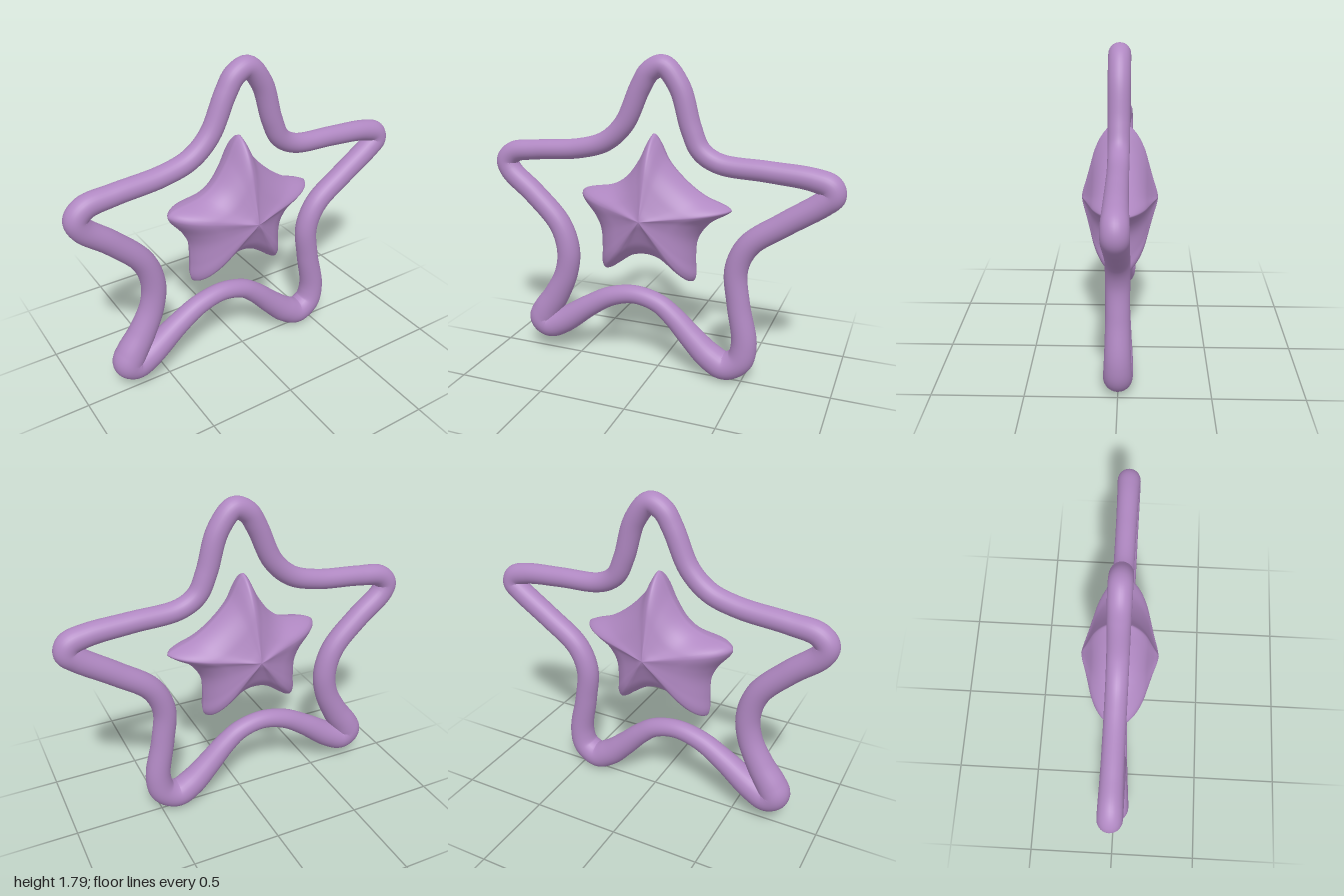
import * as THREE from 'three';
import { mergeVertices } from 'three/addons/utils/BufferGeometryUtils.js';

// Skin a grid of points: rows by columns, columns always wrap, rows wrap on request
function loft(rows, cols, wrapRows, pointAt) {
  const pos = [], index = [];
  for (let i = 0; i < rows; i++)
    for (let j = 0; j < cols; j++) pos.push(...pointAt(i, j));
  const last = wrapRows ? rows : rows - 1;
  for (let i = 0; i < last; i++) {
    for (let j = 0; j < cols; j++) {
      const i2 = (i + 1) % rows, j2 = (j + 1) % cols;
      const a = i * cols + j, b = i2 * cols + j, c = i2 * cols + j2, d = i * cols + j2;
      index.push(a, d, b, b, d, c);
    }
  }
  let g = new THREE.BufferGeometry();
  g.setAttribute('position', new THREE.Float32BufferAttribute(pos, 3));
  g.setIndex(index);
  g = mergeVertices(g, 1e-5);
  g.computeVertexNormals();
  return g;
}

const closedCurve = (pts) => new THREE.CatmullRomCurve3(
  pts.map(([x, y, r = 0]) => new THREE.Vector3(x, y, r)), true, 'centripetal');

// Frame centre line, clockwise from the top tip: x, y, tube radius
const FRAME = [
  [0.03, 1.735, 0.058], [0.12, 1.63, 0.058], [0.185, 1.42, 0.057], [0.24, 1.305, 0.056],
  [0.34, 1.245, 0.055], [0.6, 1.225, 0.056], [0.83, 1.205, 0.06], [0.92, 1.175, 0.064],
  [0.935, 1.13, 0.065], [0.89, 1.085, 0.065], [0.7, 0.955, 0.064], [0.515, 0.815, 0.064],
  [0.452, 0.67, 0.064], [0.47, 0.47, 0.064], [0.51, 0.24, 0.071], [0.485, 0.13, 0.077],
  [0.4, 0.082, 0.081], [0.31, 0.125, 0.079], [0.21, 0.215, 0.07], [0.09, 0.335, 0.06],
  [0, 0.4, 0.055], [-0.14, 0.432, 0.053], [-0.29, 0.4, 0.057], [-0.43, 0.32, 0.064],
  [-0.61, 0.195, 0.079], [-0.7, 0.163, 0.087], [-0.742, 0.195, 0.089], [-0.72, 0.25, 0.086],
  [-0.65, 0.36, 0.076], [-0.58, 0.51, 0.068], [-0.562, 0.65, 0.067], [-0.61, 0.805, 0.065],
  [-0.77, 0.975, 0.064], [-0.915, 1.1, 0.064], [-0.937, 1.16, 0.063], [-0.89, 1.212, 0.061],
  [-0.74, 1.237, 0.057], [-0.47, 1.265, 0.056], [-0.31, 1.315, 0.056], [-0.195, 1.42, 0.056],
  [-0.1, 1.62, 0.057], [-0.045, 1.705, 0.058],
];

// Outline of the puffy star, clockwise from its top tip
const STAR = [
  [-0.02, 1.38], [0.005, 1.35], [0.06, 1.245], [0.165, 1.135], [0.275, 1.06], [0.4, 1.012],
  [0.418, 0.996], [0.395, 0.975], [0.3, 0.915], [0.235, 0.82], [0.222, 0.68], [0.225, 0.595],
  [0.205, 0.566], [0.17, 0.58], [0.125, 0.615], [0.035, 0.675], [-0.055, 0.695],
  [-0.15, 0.677], [-0.23, 0.622], [-0.29, 0.582], [-0.32, 0.578], [-0.336, 0.61],
  [-0.334, 0.7], [-0.34, 0.82], [-0.375, 0.9], [-0.445, 0.99], [-0.455, 1.02],
  [-0.43, 1.045], [-0.26, 1.083], [-0.18, 1.135], [-0.1, 1.245], [-0.042, 1.36],
];

// Puffiness: share of the outline against depth
const PUFF = [
  [0, 0.211], [0.1, 0.202], [0.25, 0.182], [0.45, 0.158], [0.62, 0.137], [0.77, 0.108],
  [0.88, 0.075], [0.96, 0.037], [1, 0],
];

function frameGeometry() {
  const curve = closedCurve(FRAME), rows = 336, cols = 28;
  const at = (i) => curve.getPoint(((i + rows) % rows) / rows);
  return loft(rows, cols, true, (i, j) => {
    const p = at(i), t = at(i + 1).sub(at(i - 1)).setZ(0).normalize();
    const a = (j / cols) * Math.PI * 2, out = p.z * Math.cos(a);
    return [p.x - t.y * out, p.y + t.x * out, p.z * Math.sin(a)];
  });
}

function starGeometry() {
  const outline = closedCurve(STAR), cols = 192, half = 24, cx = -0.03, cy = 0.945;
  const profile = new THREE.SplineCurve(PUFF.map(([s, z]) => new THREE.Vector2(s, z)));
  return loft(half * 2 + 1, cols, false, (i, j) => {
    const back = i > half;
    const q = profile.getPoint((back ? 2 * half - i : i) / half);
    const o = outline.getPoint(j / cols);
    return [cx + (o.x - cx) * q.x, cy + (o.y - cy) * q.x, back ? -q.y : q.y];
  });
}

export function createModel() {
  const purple = new THREE.MeshStandardMaterial({ color: 0xb088c2 });
  purple.name = 'purple';
  const group = new THREE.Group();
  group.name = 'starOrnament';
  const add = (name, geometry) => {
    const mesh = new THREE.Mesh(geometry, purple);
    mesh.name = name;
    group.add(mesh);
  };
  add('outerStarFrame', frameGeometry());
  add('innerStar', starGeometry());
  return group;
}
